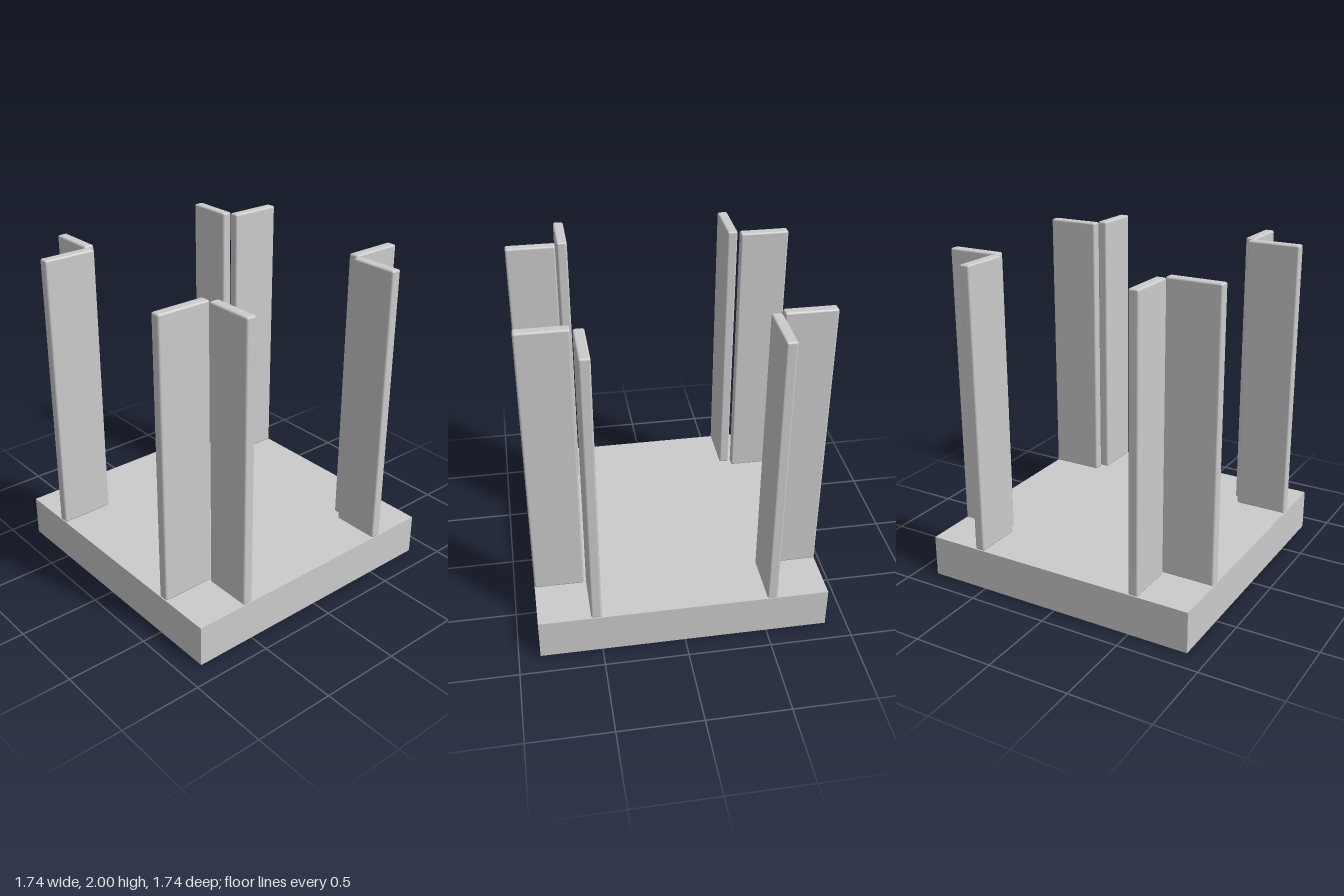
import * as THREE from 'three';
import { RoundedBoxGeometry } from 'three/addons/geometries/RoundedBoxGeometry.js';

const HALF = 0.872;      // half width of the square base
const BASE_H = 0.255;    // base thickness
const TOP = 2;           // top of the panels
const NEAR = 0.497, FAR = 0.56; // inner and outer faces of each panel

export function createModel() {
  const group = new THREE.Group();
  group.name = 'cornerPanelStand';
  const material = new THREE.MeshStandardMaterial({ color: 0xcccccc });

  const base = new THREE.Mesh(new THREE.BoxGeometry(HALF * 2, BASE_H, HALF * 2), material);
  base.name = 'base';
  base.position.y = BASE_H / 2;
  group.add(base);

  // Upright panel with softened edges, spanning x0..x1 and z0..z1
  function addPanel(parent, name, x0, x1, z0, z1, sx, sz) {
    const geometry = new RoundedBoxGeometry(x1 - x0, TOP - BASE_H, z1 - z0, 2, 0.012);
    const panel = new THREE.Mesh(geometry, material);
    panel.name = name;
    panel.position.set(sx * (x0 + x1) / 2, (TOP + BASE_H) / 2, sz * (z0 + z1) / 2);
    parent.add(panel);
  }

  // Two panels meeting at right angles near each corner
  for (const sx of [-1, 1]) {
    for (const sz of [-1, 1]) {
      const corner = new THREE.Group();
      corner.name = (sz > 0 ? 'front' : 'back') + (sx > 0 ? 'Left' : 'Right') + 'Corner';
      addPanel(corner, 'crosswisePanel', 0.542, HALF, NEAR, FAR, sx, sz);
      addPanel(corner, 'lengthwisePanel', NEAR, FAR, 0.572, HALF, sx, sz);
      group.add(corner);
    }
  }
  return group;
}
